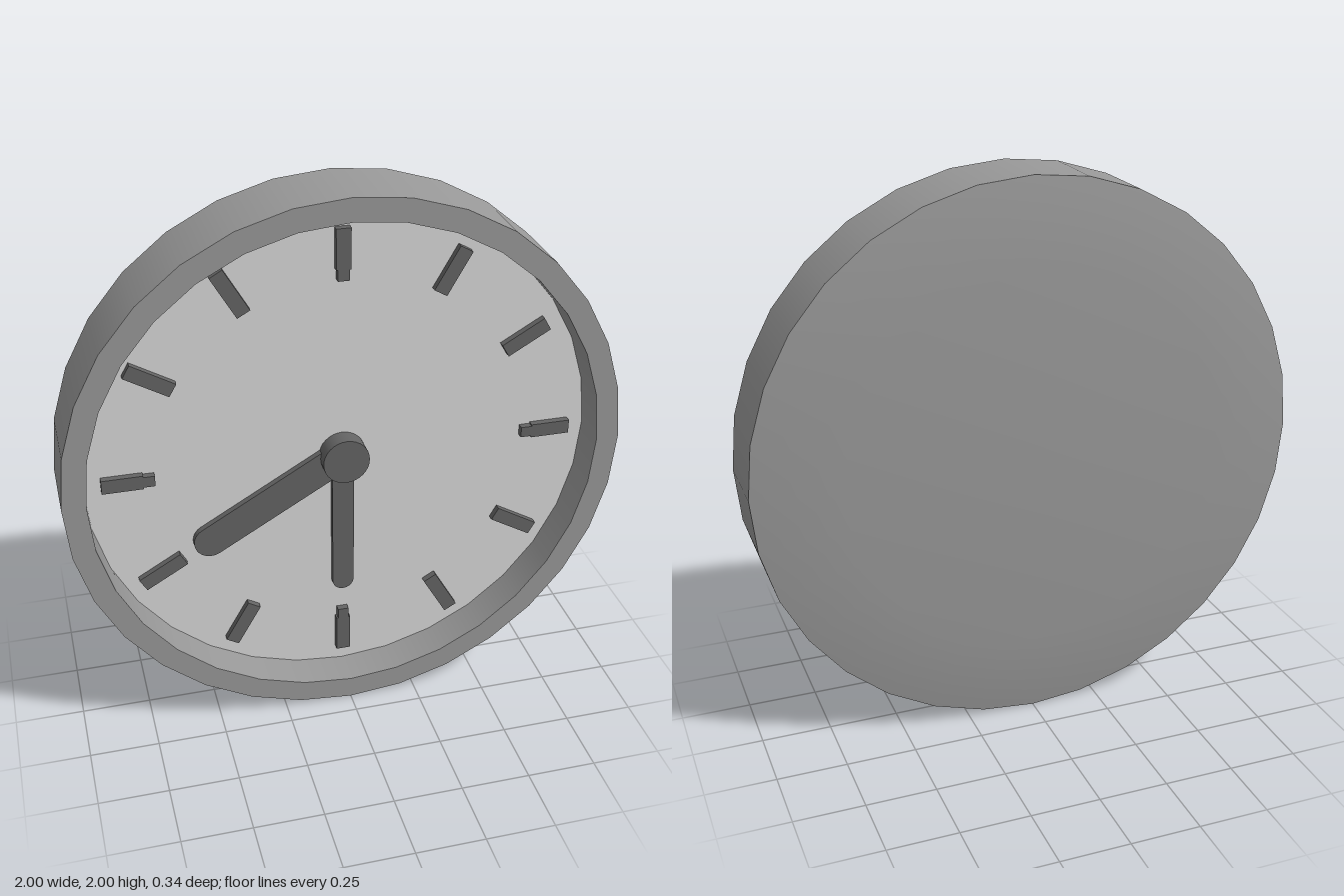
import * as THREE from 'three';

const SEGMENTS = 32;
const FRONT = 0.168, BACK = -0.168, DIAL_Z = 0.03;

export function createModel() {
  const clock = new THREE.Group();
  clock.name = 'wallClock';
  const mat = (name, color) => {
    const m = new THREE.MeshStandardMaterial({ color });
    m.name = name;
    return m;
  };
  const caseGrey = mat('caseGrey', 0x999999);
  const dialGrey = mat('dialGrey', 0xd8d8d8);
  const handGrey = mat('handGrey', 0x646464);

  const add = (name, geometry, material, parent = clock) => {
    const mesh = new THREE.Mesh(geometry, material);
    mesh.name = name;
    parent.add(mesh);
    return mesh;
  };

  // Case: turned sections, kept apart so that the edges stay sharp
  const body = new THREE.Group();
  body.name = 'case';
  clock.add(body);
  const turned = (name, points) => {
    const profile = points.map(([r, z]) => new THREE.Vector2(r, z));
    add(name, new THREE.LatheGeometry(profile, SEGMENTS).rotateX(Math.PI / 2), caseGrey, body);
  };
  turned('caseBack', [[0, BACK], [0.69, BACK], [1, -0.12]]);
  turned('caseSide', [[1, -0.12], [1, FRONT]]);
  turned('rimFront', [[1, FRONT], [0.917, FRONT]]);
  turned('rimInside', [[0.917, FRONT], [0.917, DIAL_Z]]);

  // Dial
  add('dial', new THREE.CircleGeometry(0.917, SEGMENTS), dialGrey).position.z = DIAL_Z;

  // Hour marks, the quarter ones stepped at the inner end
  for (let i = 0; i < 12; i++) {
    const mark = new THREE.Group();
    mark.name = 'hourMark' + (i + 1);
    mark.rotation.z = -(i + 1) * Math.PI / 6;
    const quarter = i % 3 === 2;
    const inner = quarter ? 0.71 : 0.68;
    const outer = 0.855;
    add('markBar', new THREE.BoxGeometry(0.052, outer - inner, 0.025), handGrey, mark)
      .position.set(0, (outer + inner) / 2, DIAL_Z + 0.0125);
    if (quarter) {
      add('markTip', new THREE.BoxGeometry(0.04, 0.04, 0.025), handGrey, mark)
        .position.set(0, 0.69, DIAL_Z + 0.0125);
    }
    clock.add(mark);
  }

  // Hands: flat bars with a round tip, pointing along +x before turning
  const hand = (name, length, radius, angle, depth) => {
    const shape = new THREE.Shape();
    shape.moveTo(0, -radius);
    shape.lineTo(length, -radius);
    shape.absarc(length, 0, radius, -Math.PI / 2, Math.PI / 2, false);
    shape.lineTo(0, radius);
    const geometry = new THREE.ExtrudeGeometry(shape, { depth, bevelEnabled: false, curveSegments: 8 });
    const mesh = add(name, geometry, handGrey);
    mesh.position.z = DIAL_Z;
    mesh.rotation.z = angle;
  };
  hand('hourHand', 0.565, 0.06, Math.PI * 7 / 6, 0.025);
  hand('minuteHand', 0.535, 0.04, -Math.PI / 2, 0.022);

  // Hub
  add('hub', new THREE.CylinderGeometry(0.084, 0.084, 0.07, 32).rotateX(Math.PI / 2), handGrey)
    .position.z = DIAL_Z + 0.035;

  clock.position.y = 1;
  const model = new THREE.Group();
  model.name = 'model';
  model.add(clock);
  return model;
}
